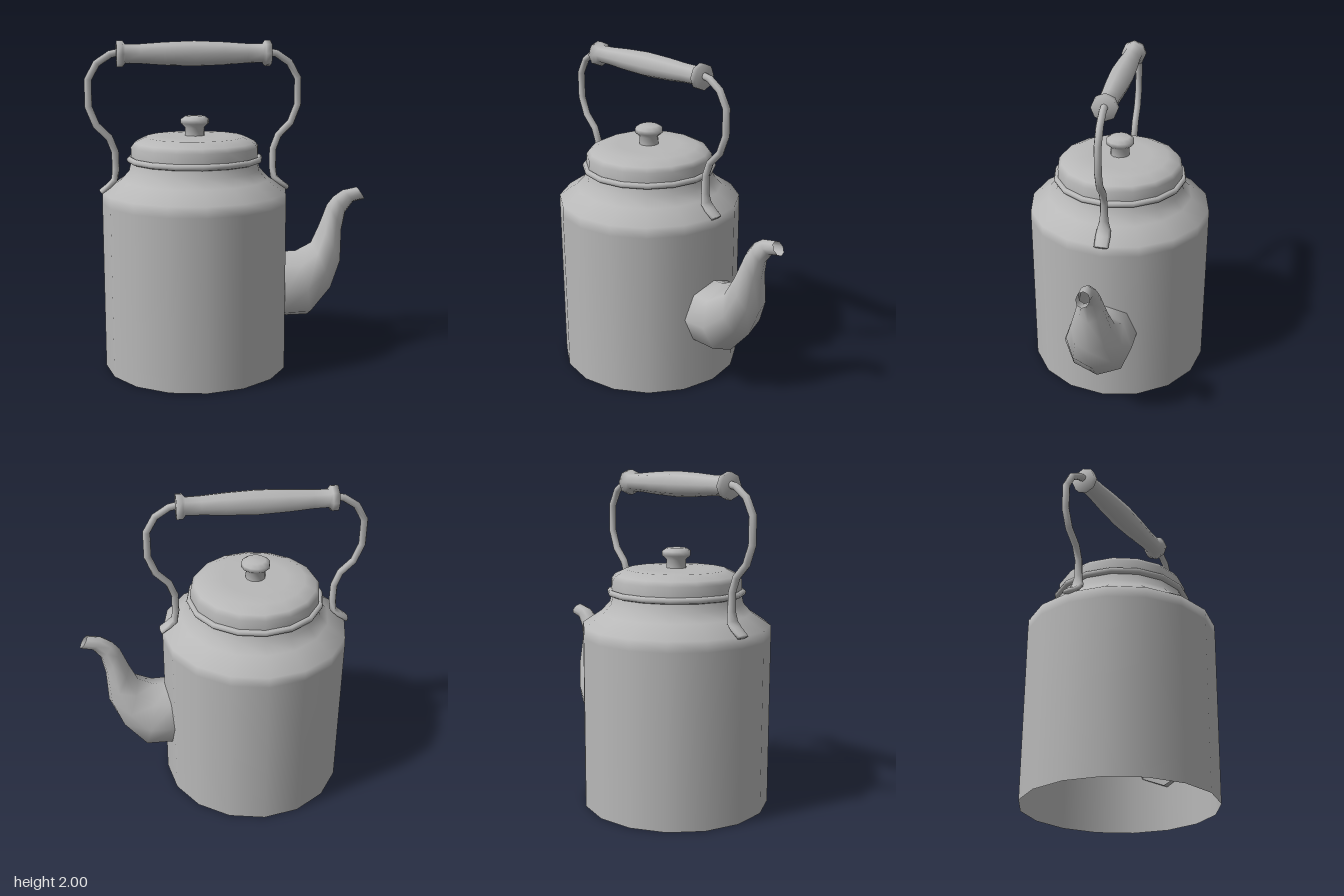
import * as THREE from 'three';

const CX = -0.21; // axis of the pot

const metal = new THREE.MeshStandardMaterial({ color: 0xb8b8b8, side: THREE.DoubleSide });
metal.name = 'grey metal';

function add(group, name, geometry) {
  const mesh = new THREE.Mesh(geometry, metal);
  mesh.name = name;
  group.add(mesh);
  return mesh;
}

// Turned part from [radius, height] pairs
function turned(profile, sides) {
  return new THREE.LatheGeometry(profile.map(([r, y]) => new THREE.Vector2(r, y)), sides);
}

// Skin over rings; each is [x1, y1, x2, y2, halfDepth], 1 being the left edge along the run
function loft(sections, sides = 8) {
  const pos = [], index = [];
  sections.forEach(([x1, y1, x2, y2, hz], i) => {
    const cx = (x1 + x2) / 2, cy = (y1 + y2) / 2;
    for (let j = 0; j < sides; j++) {
      const t = (j / sides) * Math.PI * 2;
      pos.push(cx + (x1 - cx) * Math.cos(t), cy + (y1 - cy) * Math.cos(t), hz * Math.sin(t));
      if (i === sections.length - 1) continue;
      const a = i * sides + j, b = i * sides + (j + 1) % sides;
      index.push(a, b, a + sides, b, b + sides, a + sides);
    }
  });
  const g = new THREE.BufferGeometry();
  g.setAttribute('position', new THREE.Float32BufferAttribute(pos, 3));
  g.setIndex(index);
  g.computeVertexNormals();
  return g;
}

// Bent rod from [x, y, halfThickness, halfDepth] stations
function rod(path) {
  return loft(path.map(([x, y, h, d], i) => {
    const p = path[Math.max(i - 1, 0)], n = path[Math.min(i + 1, path.length - 1)];
    const tx = n[0] - p[0], ty = n[1] - p[1], l = Math.hypot(tx, ty);
    const ux = (-ty / l) * h, uy = (tx / l) * h;
    return [x + ux, y + uy, x - ux, y - uy, d];
  }));
}

export function createModel() {
  const kettle = new THREE.Group();
  kettle.name = 'kettle';

  // Open-bottomed pot with sloping shoulder and neck
  add(kettle, 'body', turned([
    [0.565, 0], [0.565, 0.55], [0.565, 1.03], [0.563, 1.095], [0.45, 1.17],
    [0.4, 1.225], [0.385, 1.29],
  ], 16)).position.x = CX;

  // Rolled rim
  const rim = add(kettle, 'rim', new THREE.TorusGeometry(0.395, 0.019, 8, 16));
  rim.rotation.x = Math.PI / 2;
  rim.position.set(CX, 1.29, 0);

  // Lid and knob
  add(kettle, 'lid', turned([
    [0.388, 1.29], [0.388, 1.365], [0.367, 1.393], [0.3, 1.425], [0.2, 1.43], [0, 1.432],
  ], 16)).position.x = CX;
  add(kettle, 'lidKnob', turned([
    [0.06, 1.425], [0.058, 1.48], [0.086, 1.505], [0.086, 1.53], [0.06, 1.548], [0, 1.55],
  ], 12)).position.x = CX;

  // Curved spout, open at the tip
  add(kettle, 'spout', loft([
    [0.31, 0.69, 0.31, 0.27, 0.21],
    [0.42, 0.69, 0.5, 0.27, 0.207],
    [0.52, 0.74, 0.64, 0.43, 0.167],
    [0.57, 0.85, 0.71, 0.6, 0.122],
    [0.62, 0.98, 0.717, 0.81, 0.073],
    [0.66, 1.03, 0.74, 0.93, 0.052],
    [0.72, 1.07, 0.79, 0.995, 0.042],
    [0.81, 1.087, 0.86, 1.01, 0.04],
  ]));

  // Turned grip with a collar at each end
  const half = [[0.077, 0.462], [0.077, 0.425], [0.056, 0.41], [0.058, 0.32], [0.068, 0.18]];
  const grip = add(kettle, 'handleGrip', turned([
    [0, -0.465], ...half.map(([r, y]) => [r, -y]), [0.075, 0], ...half.reverse(), [0, 0.465],
  ], 8));
  grip.rotation.z = -Math.PI / 2;
  grip.position.set(CX, 1.92, 0);

  // Bent wires, flattened to feet on the shoulder; x is measured from the axis
  const w = 0.022;
  const wire = [
    [0.42, 1.935, w, w], [0.5, 1.918, w, w], [0.58, 1.865, w, w], [0.633, 1.77, w, w],
    [0.633, 1.61, w, w], [0.59, 1.5, w, w], [0.515, 1.425, w, w], [0.482, 1.34, w, w],
    [0.48, 1.23, w, 0.026], [0.488, 1.17, 0.021, 0.042], [0.52, 1.137, 0.018, 0.045],
    [0.572, 1.098, 0.017, 0.043], [0.573, 1.097, 0.001, 0.001],
  ];
  for (const [name, s] of [['leftHandleWire', 1], ['rightHandleWire', -1]]) {
    add(kettle, name, rod(wire.map(([x, y, h, d]) => [CX + s * x, y, h, d])));
  }

  return kettle;
}
